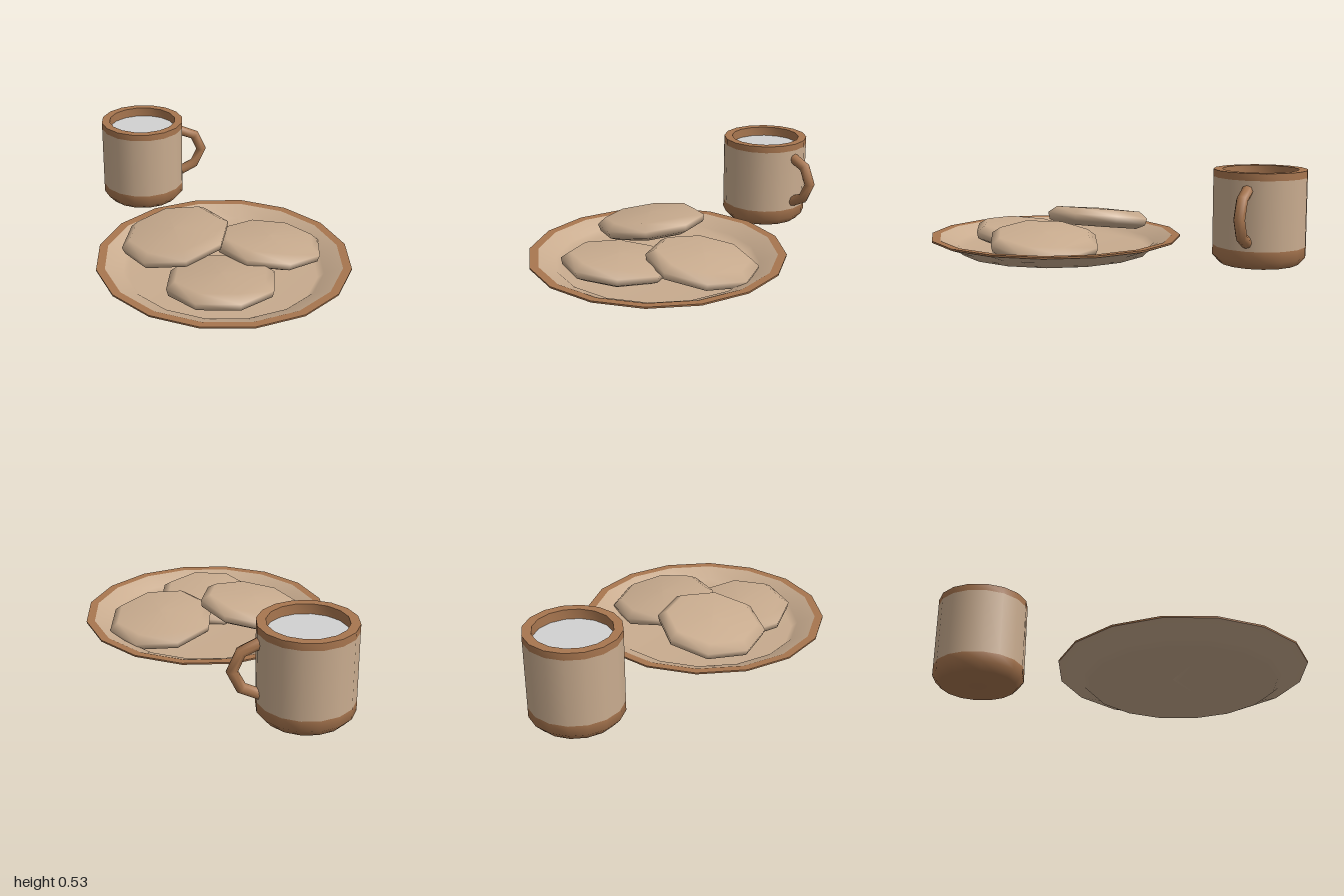
import * as THREE from 'three';
import { toCreasedNormals } from 'three/addons/utils/BufferGeometryUtils.js';

const material = (name, color) => {
  const m = new THREE.MeshStandardMaterial({ color });
  m.name = name;
  return m;
};

// Surface of revolution; profile runs from the bottom, round the outside, to the top
function lathe(profile, sides, crease = 0) {
  const g = new THREE.LatheGeometry(profile.map(([r, y]) => new THREE.Vector2(r, y)), sides);
  return crease ? toCreasedNormals(g, crease) : g;
}

export function createModel() {
  const tan = material('tan', 0xc9ac8f);
  const brown = material('brown', 0xa8764f);
  const milkWhite = material('milkWhite', 0xd2d2d2);
  const model = new THREE.Group();

  function add(parent, name, geometry, mat) {
    const mesh = new THREE.Mesh(geometry, mat);
    mesh.name = name;
    parent.add(mesh);
    return mesh;
  }

  // Plate: shallow dish with a thin brown rim
  const plate = new THREE.Group();
  plate.name = 'plate';
  plate.position.set(0.267, 0, 0.095);
  model.add(plate);
  add(plate, 'plateUnderside', lathe([[0, 0.032], [0.55, 0.032], [0.585, 0.065], [0.726, 0.115]], 16), tan);
  add(plate, 'plateRim', lathe([[0.726, 0.115], [0.727, 0.125], [0.678, 0.123]], 16, 0.6), brown);
  add(plate, 'plateInside', lathe([[0.678, 0.123], [0.575, 0.078], [0.54, 0.046], [0, 0.046]], 16), tan);

  // Cookies: bevelled eight-sided discs, each leaning by its own slope along x and z
  const cookieShape = lathe([[0, -0.055], [0.25, -0.052], [0.305, -0.028], [0.316, 0.012],
    [0.265, 0.05], [0, 0.058]], 8);
  const up = new THREE.Vector3(0, 1, 0);
  [
    { name: 'cookieLeft', at: [-0.02, 0.197, 0.155], turn: 0, slope: [0.12, -0.12] },
    { name: 'cookieBack', at: [0.415, 0.128, -0.165], turn: 0.12, slope: [0, 0.137] },
    { name: 'cookieFront', at: [0.385, 0.1, 0.305], turn: 0.11, slope: [0.08, 0.07] },
  ].forEach(({ name, at, turn, slope }) => {
    const cookie = add(model, name, cookieShape.clone().rotateY(turn), tan);
    cookie.position.set(...at);
    const normal = new THREE.Vector3(-slope[0], 1, -slope[1]).normalize();
    cookie.quaternion.setFromUnitVectors(up, normal);
  });

  // Mug: tan wall between a brown base and a brown lip
  const mug = new THREE.Group();
  mug.name = 'mug';
  mug.position.set(-0.738, 0, -0.52);
  model.add(mug);
  const R = 0.262;
  add(mug, 'mugBase', lathe([[0, 0], [0.222, 0.003], [R, 0.047], [R, 0.105]], 16), brown);
  add(mug, 'mugWall', lathe([[R, 0.105], [R, 0.49]], 16), tan);
  add(mug, 'mugLip', lathe([[R, 0.49], [R, 0.53], [0.212, 0.53], [0.212, 0.465]], 16, 0.6), brown);
  add(mug, 'milk', lathe([[0.212, 0.474], [0, 0.474]], 16), milkWhite);

  // Handle: faceted loop set on the back left of the mug
  const path = new THREE.CatmullRomCurve3(
    [[0.24, 0.44], [0.345, 0.396], [0.39, 0.293], [0.345, 0.2], [0.24, 0.147]]
      .map(([x, y]) => new THREE.Vector3(x, y, 0)));
  const handle = add(mug, 'mugHandle', new THREE.TubeGeometry(path, 4, 0.032, 8), brown);
  handle.rotation.y = Math.PI / 4;

  return model;
}
